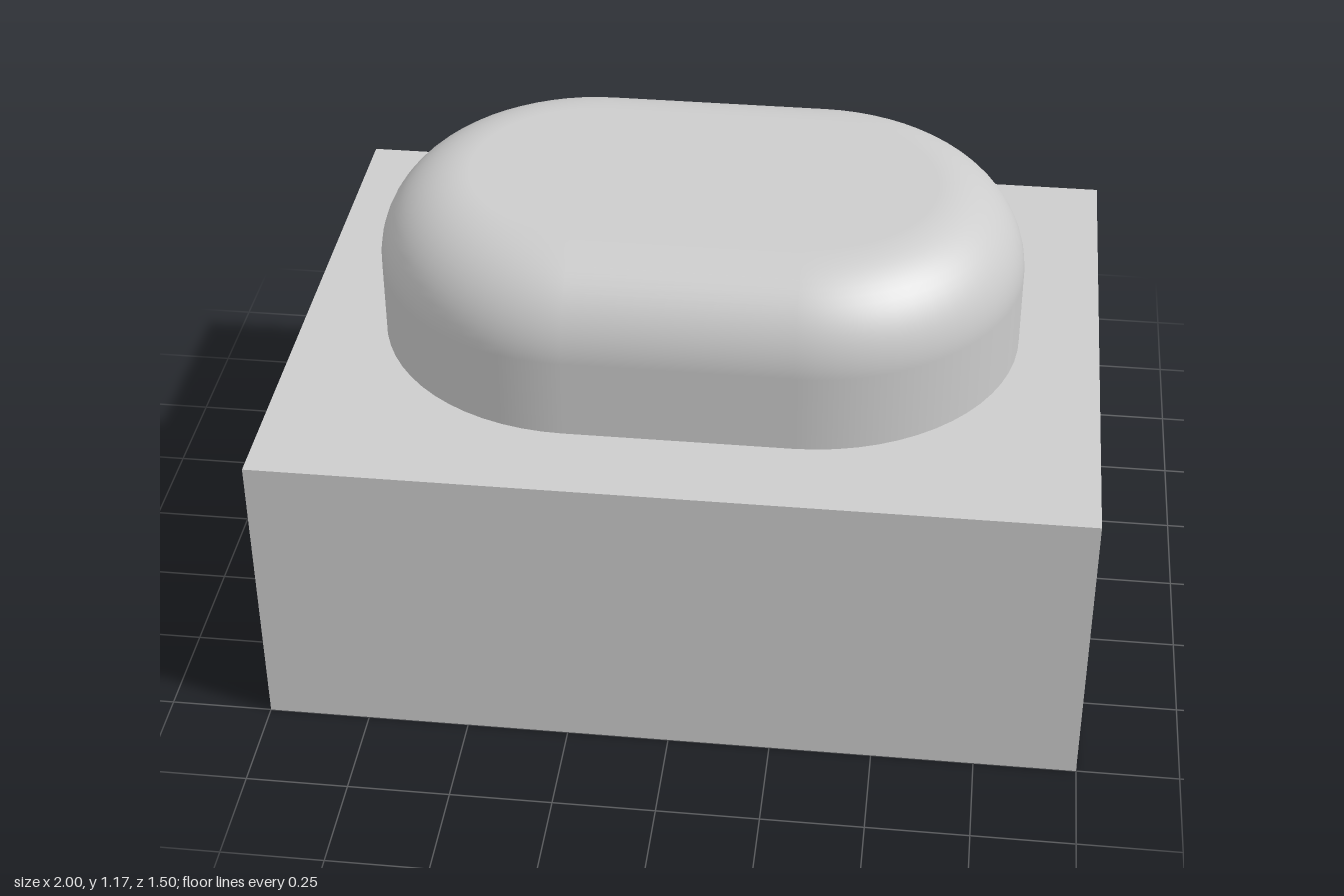
import * as THREE from 'three';

// Pill-shaped block: stadium outline swept up a wall, over a round fillet, to a flat top
function stadiumDome(halfLength, radius, y0, y1, fillet, arcSteps = 32, filletSteps = 16) {
  const shift = halfLength - radius;
  // Outline directions, with the end points of each half circle giving the straight sides
  const outline = [];
  for (const side of [1, -1]) {
    for (let i = 0; i <= arcSteps; i++) {
      const a = (i / arcSteps - 0.5) * Math.PI + (side < 0 ? Math.PI : 0);
      outline.push({ c: Math.cos(a), s: Math.sin(a), x: side * shift });
    }
  }
  outline.push(outline[0]);

  // Profile rows: distance from the arc centre, height, tilt of the normal
  const rows = [{ d: radius, y: y0, tilt: 0 }];
  for (let j = 0; j <= filletSteps; j++) {
    const t = (j / filletSteps) * Math.PI / 2;
    rows.push({
      d: radius - fillet + fillet * Math.cos(t),
      y: y1 - fillet + fillet * Math.sin(t),
      tilt: t,
    });
  }
  rows.push({ d: 0, y: y1, tilt: Math.PI / 2, centre: true });

  const position = [], normal = [], index = [];
  const n = outline.length;
  rows.forEach((row, j) => {
    outline.forEach((p, i) => {
      position.push(row.centre ? 0 : p.x + p.c * row.d, row.y, p.s * row.d);
      normal.push(p.c * Math.cos(row.tilt), Math.sin(row.tilt), p.s * Math.cos(row.tilt));
      if (j < rows.length - 1 && i < n - 1) {
        const a = j * n + i, b = a + 1, c = a + n, d = c + 1;
        index.push(a, c, b);
        if (!rows[j + 1].centre) index.push(b, c, d);
      }
    });
  });

  const geometry = new THREE.BufferGeometry();
  geometry.setAttribute('position', new THREE.Float32BufferAttribute(position, 3));
  geometry.setAttribute('normal', new THREE.Float32BufferAttribute(normal, 3));
  geometry.setIndex(index);
  return geometry;
}

export function createModel() {
  const grey = new THREE.MeshStandardMaterial({ color: 0xcccccc });
  grey.name = 'plain grey';

  const group = new THREE.Group();
  group.name = 'blockWithRoundedTop';

  // Rectangular base block
  const base = new THREE.Mesh(new THREE.BoxGeometry(2, 0.75, 1.5), grey);
  base.name = 'baseBlock';
  base.position.y = 0.375;
  group.add(base);

  // Rounded boss standing on the base
  const boss = new THREE.Mesh(stadiumDome(0.8, 0.525, 0.75, 1.175, 0.225), grey);
  boss.name = 'roundedBoss';
  group.add(boss);

  return group;
}
